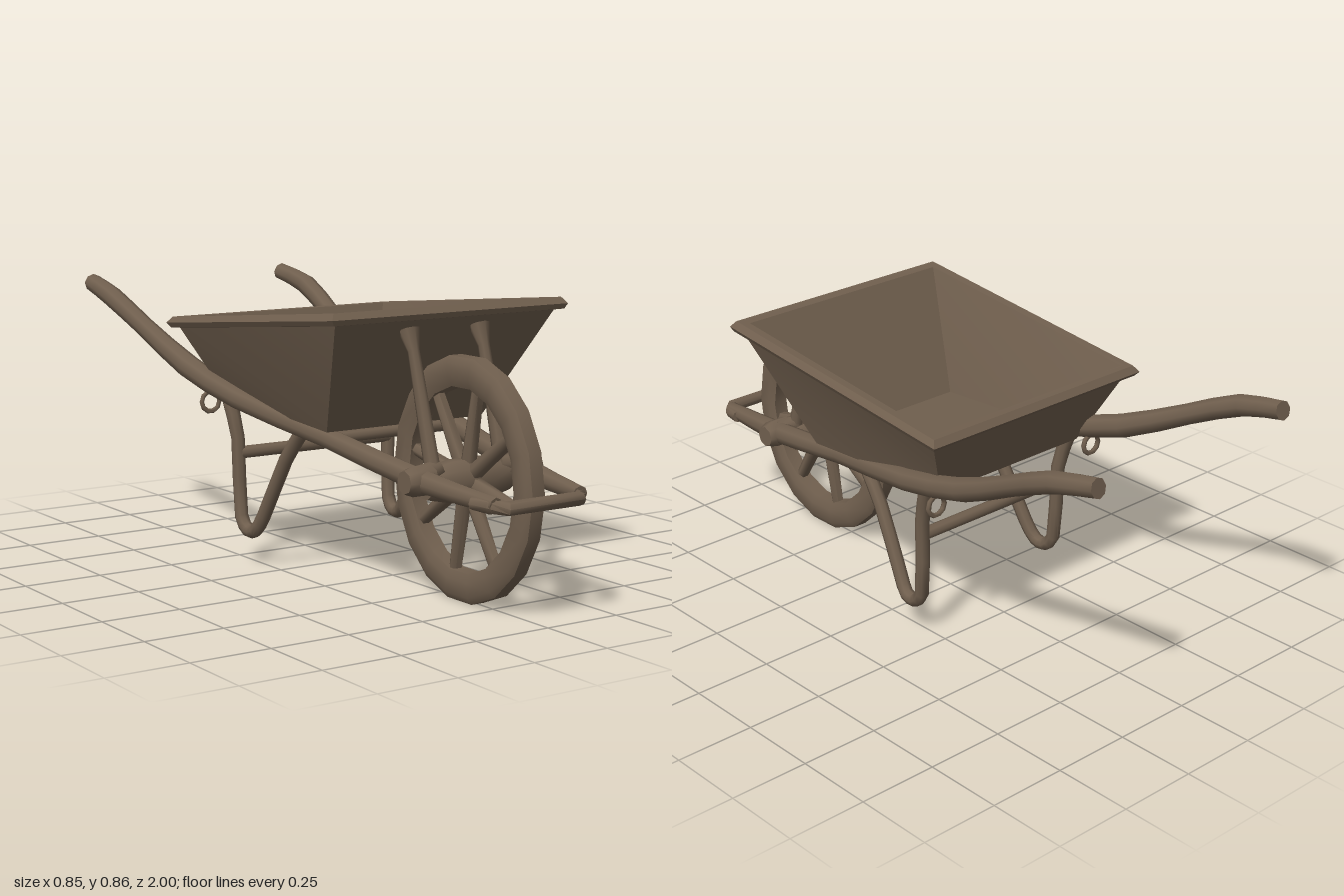
import * as THREE from 'three';
import { toCreasedNormals } from 'three/addons/utils/BufferGeometryUtils.js';

const wood = new THREE.MeshStandardMaterial({ color: 0x705f4e });
wood.name = 'weathered brown';

function add(parent, name, geometry, crease = 0.9) {
  const mesh = new THREE.Mesh(toCreasedNormals(geometry, crease), wood);
  mesh.name = name;
  parent.add(mesh);
  return mesh;
}

// Joins equal-sized rings of points into a skin, closing both ends
function skin(rings) {
  const n = rings[0].length, index = [];
  for (let r = 0; r < rings.length - 1; r++) {
    for (let i = 0; i < n; i++) {
      const a = r * n + i, b = r * n + (i + 1) % n;
      index.push(a, b, a + n, b, b + n, a + n);
    }
  }
  const last = (rings.length - 1) * n;
  for (let i = 1; i < n - 1; i++) {
    index.push(0, i + 1, i, last, last + i, last + i + 1);
  }
  const g = new THREE.BufferGeometry();
  g.setAttribute('position', new THREE.Float32BufferAttribute(rings.flat().flatMap(p => [p.x, p.y, p.z]), 3));
  g.setIndex(index);
  return g;
}

// Round pole through points [x, y, z, radius]
function pole(points, steps = 1, sides = 8) {
  const curve = new THREE.CatmullRomCurve3(points.map(p => new THREE.Vector3(p[0], p[1], p[2])));
  const count = (points.length - 1) * steps;
  const rings = [];
  for (let k = 0; k <= count; k++) {
    const t = k / count, c = curve.getPoint(t), dir = curve.getTangent(t);
    const ref = Math.abs(dir.x) > 0.9 ? new THREE.Vector3(0, 1, 0) : new THREE.Vector3(1, 0, 0);
    const v = new THREE.Vector3().crossVectors(dir, ref).normalize();
    const u = new THREE.Vector3().crossVectors(v, dir);
    const s = Math.min(Math.floor(k / steps), points.length - 2), f = k / steps - s;
    const radius = THREE.MathUtils.lerp(points[s][3], points[s + 1][3], f);
    rings.push(Array.from({ length: sides }, (_, i) => {
      const a = (i / sides) * Math.PI * 2;
      return c.clone().addScaledVector(u, Math.cos(a) * radius).addScaledVector(v, Math.sin(a) * radius);
    }));
  }
  return skin(rings);
}

// Four tray corners, front and back edges at their own depth and height
function trayRing(x, zf, yf, zb, yb) {
  return [[x, yf, zf], [x, yb, zb], [-x, yb, zb], [-x, yf, zf]].map(p => new THREE.Vector3(...p));
}

function buildWheel() {
  const wheel = new THREE.Group();
  wheel.name = 'wheel';
  // Tyre with softly bevelled edges, axis turned to x
  const profile = [[0.275, -0.025], [0.3, -0.035], [0.345, -0.035], [0.365, -0.022], [0.365, 0.022],
    [0.345, 0.035], [0.3, 0.035], [0.275, 0.025], [0.275, -0.025]].map(p => new THREE.Vector2(...p));
  add(wheel, 'tyre', new THREE.LatheGeometry(profile, 18).rotateZ(-Math.PI / 2), 0.9);
  for (let i = 0; i < 8; i++) {
    const a = (i / 8) * Math.PI * 2 + 0.2;
    const y = Math.cos(a), z = Math.sin(a);
    add(wheel, 'spoke', pole([[0, y * 0.03, z * 0.03, 0.026], [0, y * 0.29, z * 0.29, 0.02]], 1, 6), 1.1);
  }
  // Hub tapering to both ends
  const hub = [[0, -0.15], [0.045, -0.15], [0.065, -0.06], [0.065, 0.06], [0.045, 0.15], [0, 0.15]];
  add(wheel, 'hub', new THREE.LatheGeometry(hub.map(p => new THREE.Vector2(...p)), 10).rotateZ(-Math.PI / 2));
  wheel.scale.z = 0.91;
  wheel.position.set(0, 0.365, 0.62);
  return wheel;
}

function buildSide(s) {
  const side = new THREE.Group();
  side.name = s > 0 ? 'leftSide' : 'rightSide';
  const m = pts => pts.map(([x, y, z, r]) => [x * s, y, z, r]);

  // Long beam running from the nose to the hand grip
  add(side, 'handleBeam', pole(m([
    [0.15, 0.36, 0.95, 0.024], [0.185, 0.385, 0.65, 0.036], [0.235, 0.455, 0.25, 0.032],
    [0.305, 0.53, -0.15, 0.036], [0.335, 0.605, -0.42, 0.038], [0.365, 0.71, -0.65, 0.032],
    [0.385, 0.795, -0.84, 0.034], [0.378, 0.83, -0.995, 0.03]]), 2));
  // Axle block fixed to the beam
  add(side, 'axleMount', pole(m([[0.15, 0.385, 0.645, 0.045], [0.21, 0.385, 0.645, 0.045], [0.24, 0.385, 0.645, 0.034]])));
  // Bent leg
  add(side, 'leg', pole(m([
    [0.245, 0.46, 0.12, 0.022], [0.255, 0.36, 0.04, 0.022], [0.27, 0.17, -0.065, 0.022],
    [0.278, 0.115, -0.105, 0.022], [0.28, 0.11, -0.145, 0.022], [0.283, 0.15, -0.18, 0.022],
    [0.288, 0.4, -0.19, 0.022], [0.3, 0.53, -0.225, 0.024]]), 2));
  // Strut holding up the tray front
  add(side, 'frontStrut', pole(m([[0.125, 0.4, 0.625, 0.024], [0.127, 0.74, 0.53, 0.018], [0.127, 0.8, 0.505, 0.032]])));
  add(side, 'strutFoot', pole(m([[0.11, 0.405, 0.625, 0.03], [0.19, 0.395, 0.64, 0.034]])));
  // Small loop under the beam
  const loop = new THREE.TorusGeometry(0.032, 0.008, 6, 10);
  loop.translate(0.325 * s, 0.505, -0.295);
  add(side, 'hangingLoop', loop, 1.2);
  return side;
}

export function createModel() {
  const model = new THREE.Group();
  model.name = 'wheelbarrow';

  // Open tray: outer walls, rolled rim, inner walls and floor
  add(model, 'tray', skin([
    trayRing(0.285, 0.315, 0.487, -0.27, 0.525),
    trayRing(0.395, 0.525, 0.828, -0.362, 0.738),
    trayRing(0.415, 0.55, 0.832, -0.385, 0.738),
    trayRing(0.424, 0.556, 0.848, -0.398, 0.752),
    trayRing(0.41, 0.54, 0.867, -0.382, 0.772),
    trayRing(0.382, 0.508, 0.862, -0.355, 0.772),
    trayRing(0.275, 0.305, 0.505, -0.255, 0.543),
  ]), 0.6);

  model.add(buildWheel());
  for (const s of [1, -1]) model.add(buildSide(s));

  // Bars across the frame: half width, height, depth, radius
  const bars = [
    ['axle', 0.22, 0.38, 0.635, 0.026],
    ['trayFrontBar', 0.24, 0.46, 0.27, 0.018],
    ['trayRearBar', 0.31, 0.525, -0.2, 0.02],
    ['legBrace', 0.285, 0.353, -0.185, 0.02],
  ];
  for (const [name, x, y, z, r] of bars) add(model, name, pole([[-x, y, z, r], [x, y, z, r]]));

  // Nose bar with its ends bent back into the beams
  add(model, 'noseBar', pole([
    [-0.175, 0.36, 0.88, 0.02], [-0.16, 0.357, 0.935, 0.022], [-0.125, 0.355, 0.977, 0.021],
    [0.125, 0.355, 0.977, 0.021], [0.16, 0.357, 0.935, 0.022], [0.175, 0.36, 0.88, 0.02]]));
  return model;
}
